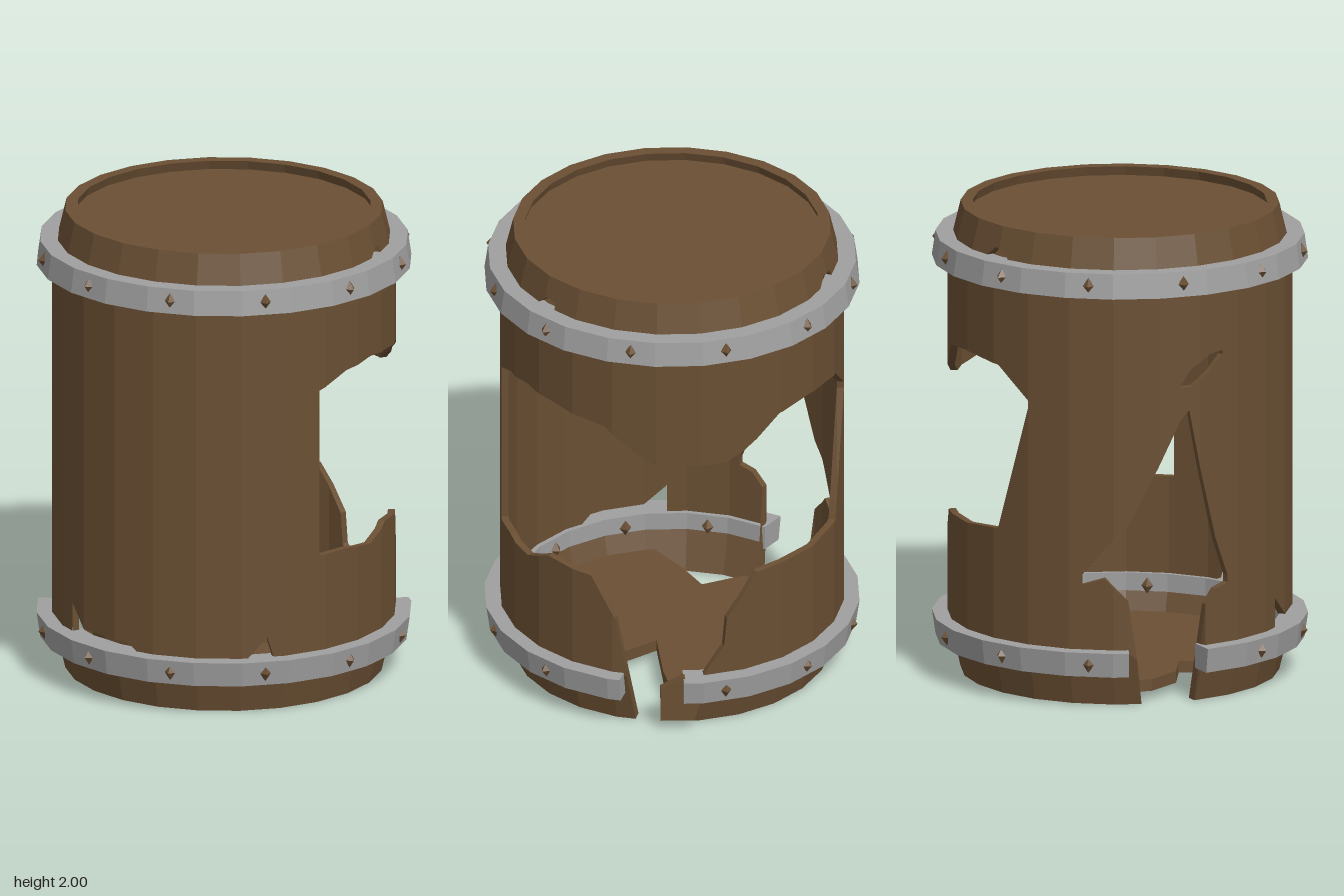
import * as THREE from 'three';

const wood = new THREE.MeshStandardMaterial({ color: 0x6a4f33, flatShading: true, side: THREE.DoubleSide });
const iron = new THREE.MeshStandardMaterial({ color: 0xa0a0a0, flatShading: true, side: THREE.DoubleSide });
const SIDE = 15; // degrees per flat side, 24 sides
const rad = THREE.MathUtils.degToRad;

// Point on a 24-sided ring; azimuth runs from +z towards +x
function ringPoint(az, r, y) {
  const off = (((az % SIDE) + SIDE) % SIDE) - SIDE / 2;
  const d = r * Math.cos(rad(SIDE / 2)) / Math.cos(rad(off));
  return [d * Math.sin(rad(az)), y, d * Math.cos(rad(az))];
}

// Linear lookup in rows [key, a, b]
function lookup(rows, key) {
  for (let i = 1; i < rows.length; i++) {
    const p = rows[i - 1], q = rows[i];
    if (key <= q[0] + 1e-6) {
      const t = (key - p[0]) / (q[0] - p[0]);
      return [p[1] + (q[1] - p[1]) * t, p[2] + (q[2] - p[2]) * t];
    }
  }
  return rows[rows.length - 1].slice(1);
}

// Thick faceted ring wall. levels: [y, outer radius, inner radius]; holes: rows of [azimuth, low, high]
function ringWall(levels, holes) {
  const pos = [];
  const y0 = levels[0][0], y1 = levels[levels.length - 1][0];
  const clampY = (y) => Math.min(y1, Math.max(y0, y));
  const pt = (az, y, inner) => ringPoint(az, lookup(levels, y)[inner], y);
  const quad = (a, b, c, d) => pos.push(...a, ...b, ...c, ...a, ...c, ...d);

  const cuts = new Set();
  for (let a = -15; a <= 345; a += SIDE) cuts.add(a);
  holes.forEach((h) => h.forEach((row) => cuts.add(row[0])));
  const az = [...cuts].sort((a, b) => a - b);

  for (let i = 1; i < az.length; i++) {
    const a = az[i - 1], b = az[i];
    // Spans left standing between the holes of this column
    const gaps = holes.filter((h) => a >= h[0][0] && b <= h[h.length - 1][0])
      .map((h) => [lookup(h, a).map(clampY), lookup(h, b).map(clampY)])
      .sort((p, q) => p[0][0] - q[0][0]);
    let bottom = [y0, y0];
    const spans = [];
    for (const [ga, gb] of gaps) {
      spans.push([bottom, [ga[0], gb[0]]]);
      bottom = [ga[1], gb[1]];
    }
    spans.push([bottom, [y1, y1]]);

    for (const [lo, hi] of spans) {
      if (hi[0] - lo[0] < 1e-4 && hi[1] - lo[1] < 1e-4) continue;
      const at = (side, y) => Math.min(hi[side], Math.max(lo[side], y));
      for (let k = 1; k < levels.length; k++) {
        const a0 = at(0, levels[k - 1][0]), a1 = at(0, levels[k][0]);
        const b0 = at(1, levels[k - 1][0]), b1 = at(1, levels[k][0]);
        if (a1 - a0 < 1e-5 && b1 - b0 < 1e-5) continue;
        quad(pt(a, a0, 0), pt(b, b0, 0), pt(b, b1, 0), pt(a, a1, 0));
        quad(pt(b, b0, 1), pt(a, a0, 1), pt(a, a1, 1), pt(b, b1, 1));
      }
      quad(pt(a, hi[0], 0), pt(b, hi[1], 0), pt(b, hi[1], 1), pt(a, hi[0], 1));
      quad(pt(a, lo[0], 1), pt(b, lo[1], 1), pt(b, lo[1], 0), pt(a, lo[0], 0));
    }
  }
  // Upright broken edges at both ends of each hole
  for (const h of holes) {
    [h[0], h[h.length - 1]].forEach(([a, low, high], end) => {
      const l = clampY(low), t = clampY(high);
      const q = [pt(a, l, 0), pt(a, l, 1), pt(a, t, 1), pt(a, t, 0)];
      quad(...(end ? q.reverse() : q));
    });
  }
  const geo = new THREE.BufferGeometry();
  geo.setAttribute('position', new THREE.Float32BufferAttribute(pos, 3));
  geo.computeVertexNormals();
  return geo;
}

export function createModel() {
  const model = new THREE.Group();
  const add = (name, geo, mat) => {
    const mesh = new THREE.Mesh(geo, mat);
    mesh.name = name;
    model.add(mesh);
    return mesh;
  };

  // Broken stave wall
  const bigHole = [[-2, 0.66, 1.38], [10, 0.66, 1.44], [23, 0.64, 1.46], [34, 0.7, 1.45], [52, 0.68, 1.42],
    [57, 0.58, 1.41], [61, 0.5, 1.37], [65, 0.25, 1.34], [67, 0, 1.31], [74, 0, 1.26], [88, 0, 1.25],
    [91, 0.25, 1.25], [98, 0.37, 1.25], [99, 0.5, 1.25], [110, 0.69, 1.33], [119, 0.7, 1.42],
    [134, 0.7, 1.44], [152, 0.72, 1.42], [165, 1.26, 1.29]];
  const backHole = [[184, 0.52, 0.56], [192, 0.55, 0.68], [200, 0.45, 0.78], [203, 0.2, 0.85], [205, 0, 0.9],
    [218, 0, 1.22], [221, 0, 1.26], [225, 0, 1.0], [227, 0.42, 0.9], [231, 0.48, 0.7], [236, 0.5, 0.53]];
  const chips = [
    [[218, 1.36, 1.37], [222, 1.36, 1.44], [229, 1.42, 1.49], [234, 1.48, 1.5]],
    [[262, 0.22, 0.37], [270, 0.22, 0.28], [290, 0.22, 0.28], [294, 0.22, 0.24]],
    [[332, 0.22, 0.24], [339, 0.22, 0.33], [341, 0.22, 0.25]],
    [[144, 1.84, 1.87], [148, 1.8, 1.91], [153, 1.8, 1.9], [155, 1.84, 1.86]],
    [[27, 1.85, 1.87], [31, 1.84, 1.91], [35, 1.85, 1.9]],
  ];
  add('staves', ringWall([[0, 0.665, 0.615], [0.23, 0.72, 0.69], [1.77, 0.72, 0.69], [2, 0.665, 0.615]],
    [bigHole, backHole, ...chips]), wood);

  // Iron hoops, the lower one snapped in two places
  const gap = (a, b) => [[a, 0, 2], [b, 0, 2]];
  add('upperHoop', ringWall([[1.765, 0.785, 0.67], [1.87, 0.77, 0.67]], []), iron);
  add('lowerHoop', ringWall([[0.14, 0.77, 0.67], [0.245, 0.785, 0.67]], [gap(64, 84), gap(200, 225)]), iron);

  // Diamond studs, showing on both faces of the hoops
  const studGeo = new THREE.OctahedronGeometry(1).scale(0.025, 0.035, 0.026);
  for (const y of [0.193, 1.817]) {
    for (let i = 0; i < 12; i++) {
      const az = 7.3 + i * 30;
      if (y < 1 && ((az > 64 && az < 84) || (az > 200 && az < 225))) continue;
      for (const r of [0.775, 0.668]) {
        const stud = add('stud', studGeo, wood);
        stud.position.set(...ringPoint(az, r, y));
        stud.rotation.y = rad(az);
      }
    }
  }

  // Recessed lid
  add('lid', new THREE.CylinderGeometry(0.64, 0.645, 0.06, 24), wood).position.y = 1.93;

  // Floor with broken-out edges
  const outline = [[22, 0.64], [38, 0.35], [55, 0.15], [75, 0.4], [82, 0.64]];
  for (let a = 90; a <= 195; a += 15) outline.push([a, 0.64]);
  outline.push([210, 0.6], [225, 0.5], [240, 0.36], [255, 0.48], [267, 0.64]);
  for (let a = 270; a <= 375; a += 15) outline.push([a, 0.64]);
  const floorShape = new THREE.Shape(outline.map(([a, r]) =>
    new THREE.Vector2(r * Math.sin(rad(a)), -r * Math.cos(rad(a)))));
  const floorGeo = new THREE.ExtrudeGeometry(floorShape, { depth: 0.05, bevelEnabled: false });
  add('floor', floorGeo.rotateX(-Math.PI / 2), wood).position.y = 0.04;

  // Loose splinter hanging beside the gap of the lower hoop
  const splinterShape = new THREE.Shape([[-0.1, -0.08], [0.04, -0.1], [0.1, 0.04], [0.02, 0.11], [-0.08, 0.07]]
    .map(([x, y]) => new THREE.Vector2(x, y)));
  const splinter = add('splinter', new THREE.ExtrudeGeometry(splinterShape, { depth: 0.035, bevelEnabled: false }), wood);
  splinter.position.set(0.7, 0.14, 0.08);
  splinter.rotation.set(0, rad(82), rad(8));

  return model;
}
